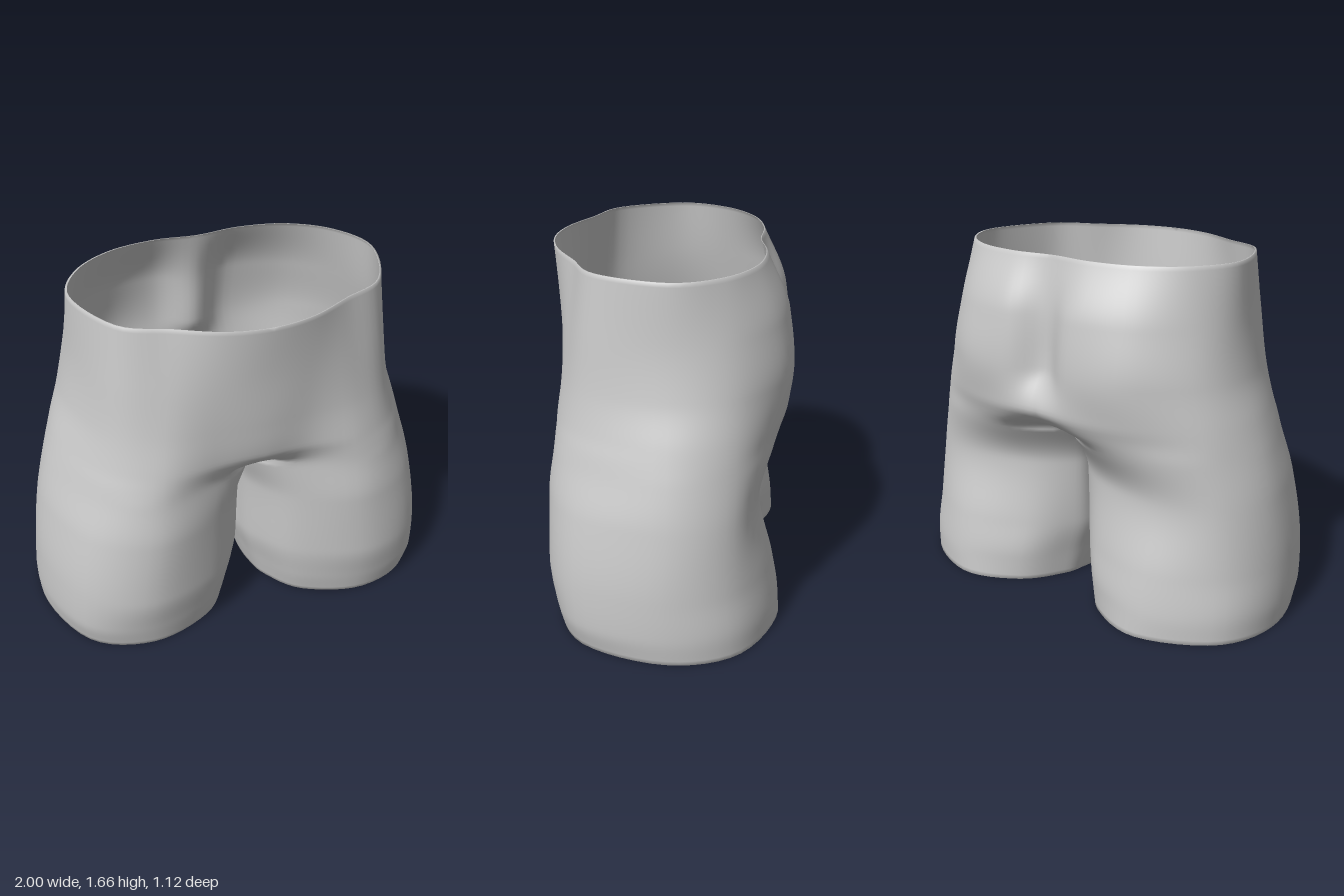
import * as THREE from 'three';
import { mergeVertices } from 'three/addons/utils/BufferGeometryUtils.js';

// Half cross-sections as x,z pairs: front centre, round the outer side, back centre
const TORSO = [
  { y: 1.66, p: [0, .565, .2, .53, .4, .43, .61, .315, .73, 0, .64, -.23, .45, -.37, .22, -.415, 0, -.395] },
  { y: 1.4, p: [0, .54, .2, .52, .43, .455, .64, .33, .747, 0, .69, -.26, .48, -.46, .2, -.525, 0, -.445] },
  { y: 1.15, p: [0, .525, .2, .51, .46, .48, .67, .345, .79, 0, .735, -.29, .48, -.505, .19, -.55, 0, -.465] },
  { y: .97, p: [0, .505, .2, .5, .48, .51, .71, .36, .852, 0, .78, -.29, .52, -.475, .22, -.54, 0, -.54] },
  { y: .9, p: [0, .45, .2, .475, .49, .52, .73, .37, .875, 0, .795, -.29, .54, -.455, .24, -.51, 0, -.48] },
];
// Leg sections are closed: three more points run along the inner thigh, back to front
const LEG = [
  { y: .82, p: [0, .3, .17, .44, .5, .53, .75, .38, .9, 0, .81, -.29, .56, -.44, .25, -.45, 0, -.29, 0, -.15, 0, 0, 0, .15] },
  { y: .62, p: [.04, .26, .2, .45, .52, .557, .81, .4, .95, 0, .845, -.29, .57, -.4, .24, -.35, .04, -.21, .008, -.1, 0, 0, .008, .12] },
  { y: .3, p: [.05, .25, .21, .45, .56, .562, .86, .415, .992, .02, .885, -.3, .56, -.47, .22, -.38, .05, -.21, .012, -.1, .003, 0, .012, .12] },
  { y: .12, p: [.09, .25, .24, .44, .57, .535, .87, .405, 1, .01, .9, -.32, .56, -.5, .24, -.41, .09, -.22, .05, -.1, .04, 0, .05, .12] },
  { y: 0, p: [.12, .25, .26, .42, .56, .51, .85, .385, .99, 0, .89, -.33, .54, -.51, .25, -.41, .11, -.22, .08, -.1, .07, 0, .08, .12] },
];
const ALL = [...TORSO, ...LEG];
const CROTCH = LEG[0].y;
const STEPS = 6, RING = 12 * STEPS, OUTER = 8 * STEPS;

// Smooth interpolation between levels that never overshoots
function blend(levels, k, y) {
  const n = levels.length;
  const gap = i => levels[i + 1].y - levels[i].y;
  const slope = i => (levels[i + 1].p[k] - levels[i].p[k]) / gap(i);
  const tangent = i => {
    if (i === 0) return slope(0);
    if (i === n - 1) return slope(n - 2);
    const a = slope(i - 1), b = slope(i), g = gap(i - 1), h = gap(i);
    return a * b > 0 ? 3 * (g + h) / ((2 * h + g) / a + (h + 2 * g) / b) : 0;
  };
  let i = 0;
  while (i < n - 2 && y < levels[i + 1].y) i++;
  const h = gap(i), t = (y - levels[i].y) / h;
  const t2 = t * t, t3 = t2 * t;
  return (2 * t3 - 3 * t2 + 1) * levels[i].p[k] + (t3 - 2 * t2 + t) * h * tangent(i)
    + (3 * t2 - 2 * t3) * levels[i + 1].p[k] + (t3 - t2) * h * tangent(i + 1);
}

// One row of surface points at height y
function section(y) {
  const pts = [];
  for (let c = 0; c < 9; c++) {
    pts.push(new THREE.Vector3(blend(ALL, 2 * c, y), y, blend(ALL, 2 * c + 1, y)));
  }
  const torso = y > CROTCH + 1e-6;
  if (torso) {
    // Mirrored neighbours keep the centre line smooth
    pts.push(new THREE.Vector3(-pts[7].x, y, pts[7].z), new THREE.Vector3(0, y, 0),
      new THREE.Vector3(-pts[1].x, y, pts[1].z));
  } else {
    for (let c = 9; c < 12; c++) {
      pts.push(new THREE.Vector3(blend(LEG, 2 * c, y), y, blend(LEG, 2 * c + 1, y)));
    }
  }
  const curve = new THREE.CatmullRomCurve3(pts, true, 'catmullrom', 0.5);
  const row = [];
  for (let i = 0; i < RING; i++) {
    const v = curve.getPoint(i / RING);
    v.x = Math.max(0, v.x);
    if ((torso && (i === 0 || i === OUTER)) || (Math.abs(y - CROTCH) < 1e-6 && i >= OUTER)) v.x = 0;
    row.push(v);
  }
  return row;
}

// Narrow turned-in edge of an opening
const lip = (row, cx, cz, s) => row.map(v =>
  new THREE.Vector3(cx + (v.x - cx) * s, v.y, cz + (v.z - cz) * s));

function shellGeometry() {
  const rows = [], up = 44, down = 40;
  for (let i = 0; i < up; i++) rows.push(section(1.66 + (CROTCH - 1.66) * i / up));
  for (let i = 0; i <= down; i++) rows.push(section(CROTCH * (1 - i / down)));
  rows.unshift(lip(rows[0], 0, .05, .988));
  rows.push(lip(rows[rows.length - 1], .53, 0, .98));
  const crotchRow = up + 1;

  const pos = [], index = [];
  for (const side of [1, -1]) {
    const base = pos.length / 3;
    for (const row of rows) for (const v of row) pos.push(side * v.x, v.y, v.z);
    for (let r = 0; r < rows.length - 1; r++) {
      const count = r < crotchRow ? OUTER : RING;
      for (let i = 0; i < count; i++) {
        const a = base + r * RING + i, b = base + r * RING + (i + 1) % RING;
        const c = a + RING, d = b + RING;
        if (side > 0) index.push(a, c, b, b, c, d);
        else index.push(a, b, c, b, d, c);
      }
    }
  }
  let geo = new THREE.BufferGeometry();
  geo.setAttribute('position', new THREE.Float32BufferAttribute(pos, 3));
  geo.setIndex(index);
  geo = mergeVertices(geo, 1e-5);
  geo.computeVertexNormals();
  return geo;
}

export function createModel() {
  const group = new THREE.Group();
  group.name = 'shorts';
  const fabric = new THREE.MeshStandardMaterial({ color: 0xc8c8c8, side: THREE.DoubleSide });
  fabric.name = 'grey fabric';
  const shell = new THREE.Mesh(shellGeometry(), fabric);
  shell.name = 'shortsShell';
  group.add(shell);
  return group;
}
